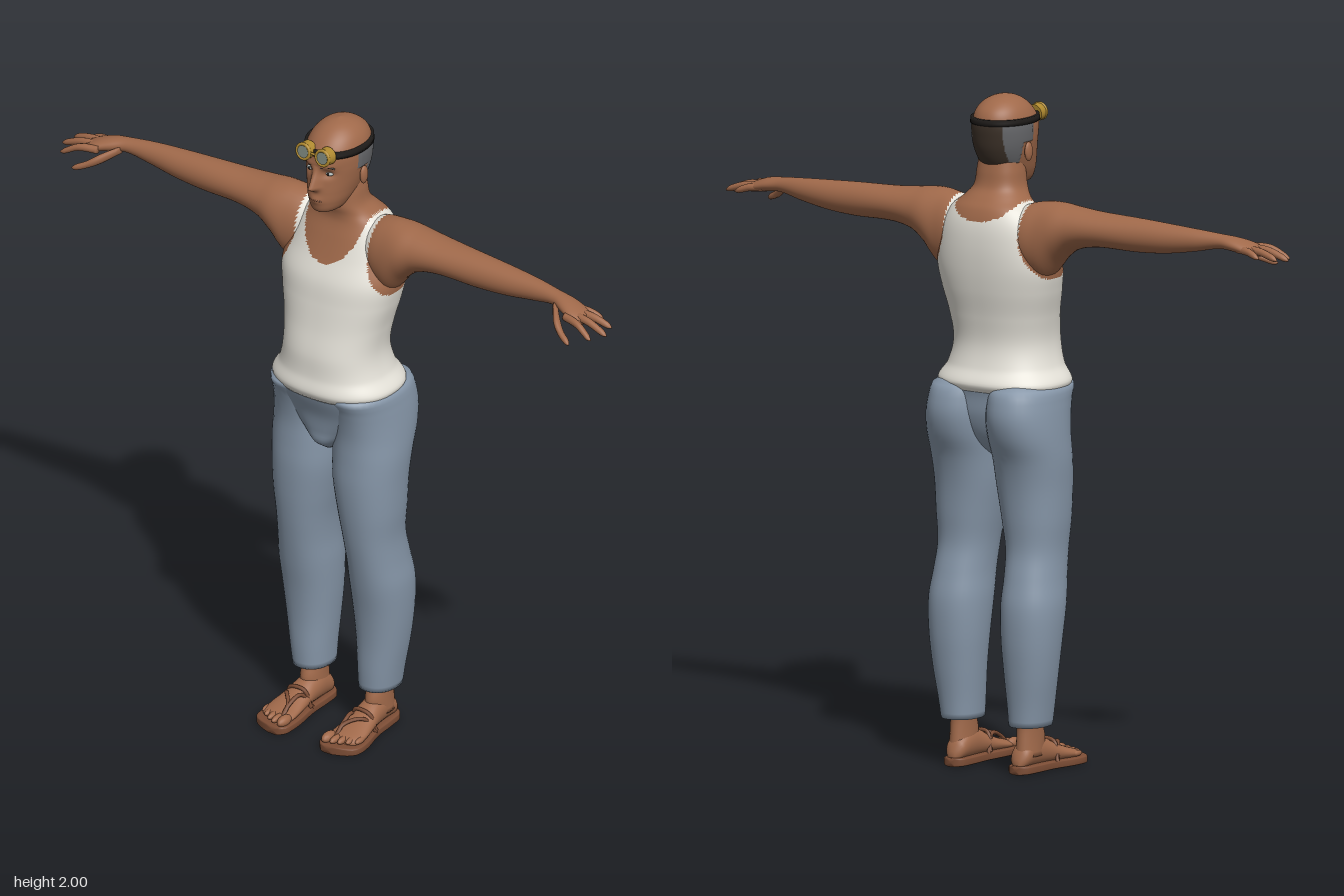
import * as THREE from 'three';

const paint = (name, color) => Object.assign(new THREE.MeshStandardMaterial({ color }), { name });
const skin = paint('skin', 0xa0694a), shirt = paint('offWhiteCotton', 0xe4e1d8), denim = paint('blueGreyCloth', 0x8696a8);
const greyHair = paint('greyHair', 0x66676a), darkHair = paint('darkHair', 0x3b3027), black = paint('blackStrap', 0x1e1b19);
const gold = paint('brass', 0xb08a30), glass = paint('lensGlass', 0x7f8a80), leather = paint('sandalLeather', 0x7c4d35);
const eyeWhite = paint('eyeWhite', 0xa9b2b0);

// Smooth interpolation of a table whose first column is the position along the part
function sample(rows, t) {
  let i = 0;
  while (i < rows.length - 2 && t > rows[i + 1][0]) i++;
  const a = rows[i], b = rows[i + 1], p = rows[Math.max(i - 1, 0)], n = rows[Math.min(i + 2, rows.length - 1)];
  const h = b[0] - a[0], u = (t - a[0]) / h, u2 = u * u, u3 = u2 * u;
  return a.map((v, k) => {
    const m0 = (b[k] - p[k]) / (b[0] - p[0]) * h, m1 = (n[k] - v) / (n[0] - a[0]) * h;
    return v * (2 * u3 - 3 * u2 + 1) + m0 * (u3 - 2 * u2 + u) + b[k] * (3 * u2 - 2 * u3) + m1 * (u3 - u2);
  });
}

// Closed skin over cross-sections; pick(x, y, z) chooses a material per face
function loft(name, rows, place, mats, seg = 32, steps = 40, pick = () => 0) {
  const pos = [], list = [].concat(mats), buckets = list.map(() => []);
  const t0 = rows[0][0], t1 = rows[rows.length - 1][0];
  for (let i = 0; i <= steps; i++) {
    const r = sample(rows, t0 + (t1 - t0) * i / steps);
    for (let j = 0; j < seg; j++) {
      const a = j / seg * Math.PI * 2;
      pos.push(...place(r, Math.cos(a), Math.sin(a)));
    }
  }
  const mid = i => [0, 1, 2].map(k => {
    let s = 0;
    for (let j = 0; j < seg; j++) s += pos[(i * seg + j) * 3 + k];
    return s / seg;
  });
  const ends = [mid(0), mid(steps)], c0 = pos.length / 3;
  pos.push(...ends[0], ...ends[1]);
  const tri = (...f) => {
    const c = [0, 1, 2].map(k => (pos[f[0] * 3 + k] + pos[f[1] * 3 + k] + pos[f[2] * 3 + k]) / 3);
    buckets[pick(...c)].push(...f);
  };
  for (let j = 0; j < seg; j++) {
    const k = (j + 1) % seg, e = steps * seg;
    for (let i = 0; i < steps; i++) {
      const A = i * seg + j, B = i * seg + k;
      tri(A, A + seg, B);
      tri(B, A + seg, B + seg);
    }
    tri(c0, j, k);
    tri(c0 + 1, e + k, e + j);
  }
  const g = new THREE.BufferGeometry();
  g.setAttribute('position', new THREE.Float32BufferAttribute(pos, 3));
  g.setIndex(buckets.flat());
  let start = 0;
  buckets.forEach((b, m) => { g.addGroup(start, b.length, m); start += b.length; });
  g.computeVertexNormals();
  return part(name, g, list.length > 1 ? list : list[0]);
}

function part(name, geo, mat, p = [0, 0, 0], s = [1, 1, 1], r = [0, 0, 0]) {
  const m = new THREE.Mesh(geo, mat);
  m.name = name;
  m.position.set(...p); m.scale.set(...s); m.rotation.set(...r);
  return m;
}
const ball = (name, mat, p, s) => part(name, new THREE.SphereGeometry(1, 16, 10), mat, p, s);
const tube = (name, mat, pts, r) => part(name, new THREE.TubeGeometry(
  new THREE.CatmullRomCurve3(pts.map(p => new THREE.Vector3(...p))), 20, r, 8), mat);

// Mirror a finished mesh to the other side
function mirrored(mesh) {
  mesh.updateMatrix();
  const g = mesh.geometry.clone().applyMatrix4(mesh.matrix).scale(-1, 1, 1), ix = g.index;
  for (let i = 0; i < ix.count; i += 3) {
    const a = ix.getX(i);
    ix.setX(i, ix.getX(i + 1));
    ix.setX(i + 1, a);
  }
  return part(mesh.name.replace('left', 'right'), g, mesh.material);
}

const round = (v, n) => Math.sign(v) * Math.abs(v) ** (2 / n);
// Upright section [y, halfWidth, front, back]
const upright = (n, cx = 0) => ([y, w, f, b], c, s) => [cx + w * round(c, n), y, (f + b) / 2 + (f - b) / 2 * round(s, n)];
const bump = (x, y, cx, cy, sx, sy) => Math.exp(-(((x - cx) / sx) ** 2) - ((y - cy) / sy) ** 2);

// Vest outline: armholes and a neckline that is deeper in front
function vest(x, y, z) {
  const ax = Math.abs(x), k = Math.max(0, 1 - (y - 1.455) / 0.15);
  if (y > 1.46 && ax > 0.132 + 0.075 * k * k) return 0;
  const depth = z > -0.05 ? 0.15 : 0.06;
  return ax < 0.105 && (y > 1.7 || (ax / 0.105) ** 2 + ((y - 1.7) / depth) ** 2 < 1) ? 0 : 1;
}

function headPoint(r, c, s) {
  let [x, y, z] = upright(2.1)(r, c, s);
  const ax = Math.abs(x);
  if (s > 0) {
    const nose = y > 1.822 ? Math.max(0, 1 - (y - 1.822) / 0.065) : Math.exp(-(((y - 1.822) / 0.013) ** 2));
    z += 0.036 * nose * Math.exp(-((x / 0.014) ** 2));
    z -= 0.011 * bump(ax, y, 0.034, 1.863, 0.018, 0.014);
    z += 0.006 * bump(ax, y, 0, 1.775, 0.022, 0.014) + 0.005 * bump(ax, y, 0.03, 1.89, 0.025, 0.012);
  }
  if (hair(x, y, z)) { x *= 1.04; z -= 0.003; }
  return [x, y, z];
}
function hair(x, y, z) {
  if (y > 1.928 || y < 1.782 || z > 0.015 || (y < 1.865 && z > -0.03)) return 0;
  return Math.abs(x) > 0.055 && y > 1.805 ? 1 : 2;
}

export function createModel() {
  const model = new THREE.Group();
  model.name = 'figure';
  const add = (...m) => model.add(...m);
  const pair = (...ms) => ms.forEach(m => add(m, mirrored(m)));

  // Torso with vest and neck
  add(loft('torso', [[1.13, .19, .145, -.155], [1.155, .2, .157, -.168], [1.2, .172, .147, -.145], [1.27, .157, .142, -.13],
    [1.35, .166, .125, -.138], [1.43, .185, .112, -.153], [1.5, .195, .1, -.162], [1.57, .18, .072, -.165],
    [1.63, .16, .05, -.16], [1.675, .13, .035, -.145], [1.7, .1, .035, -.125], [1.73, .078, .043, -.1],
    [1.78, .07, .04, -.09], [1.84, .06, .03, -.08]], upright(2.35), [skin, shirt], 112, 110, vest));

  // Arms [x, top, bottom, front, back]
  pair(loft('leftArm', [[.06, 1.66, 1.56, -.01, -.1], [.12, 1.69, 1.5, .03, -.13], [.18, 1.703, 1.475, .045, -.13],
    [.23, 1.703, 1.53, .045, -.125], [.28, 1.697, 1.567, .035, -.115], [.36, 1.69, 1.585, .025, -.105],
    [.5, 1.685, 1.585, .015, -.09], [.6, 1.68, 1.592, .008, -.08], [.7, 1.674, 1.608, 0, -.065],
    [.78, 1.667, 1.623, .003, -.05], [.83, 1.66, 1.618, .024, -.05], [.87, 1.648, 1.611, .04, -.046],
    [.9, 1.635, 1.609, .036, -.036]],
  ([x, t, b, f, k], c, s) => [x, (t + b) / 2 + (t - b) / 2 * s, (f + k) / 2 + (f - k) / 2 * c], [skin, shirt], 40, 110, vest));

  // Fingers and thumb [x, y, z, radius]
  const digit = ([x, y, z, r], c, s) => [x, y + r * s, z + r * c];
  [['Index', .85, .034, .965, 1.6, .062], ['Middle', .85, .01, .99, 1.603, .018],
    ['Ring', .85, -.012, .978, 1.608, -.024], ['Little', .84, -.03, .93, 1.612, -.048]].forEach(([n, x, z, tx, ty, tz]) =>
    pair(loft('left' + n + 'Finger', [[x, 1.63, z, .012], [(x + tx) / 2, 1.627, (z + tz) / 2, .0115],
      [tx - .012, ty + .005, tz - (tz - z) * .1, .009], [tx, ty, tz, .002]], digit, skin, 12, 20)));
  pair(loft('leftThumb', [[.79, 1.635, .0, .012], [.83, 1.612, .045, .016], [.865, 1.592, .07, .012],
    [.895, 1.58, .083, .009], [.905, 1.577, .087, .002]], digit, skin, 12, 20));

  // Trousers: each leg [y, inner, outer, front, back], then the pelvis between them
  pair(loft('leftTrouserLeg', [[.14, .062, .178, .025, -.12], [.2, .058, .187, .028, -.125], [.3, .05, .203, .03, -.137],
    [.4, .042, .214, .04, -.146], [.5, .038, .218, .058, -.146], [.58, .04, .21, .072, -.13], [.66, .035, .206, .085, -.114],
    [.75, .02, .213, .096, -.118], [.85, .004, .217, .102, -.127], [.93, 0, .22, .1, -.145], [1, 0, .217, .1, -.175],
    [1.06, 0, .212, .11, -.188], [1.11, .002, .206, .125, -.182], [1.145, .005, .198, .138, -.167], [1.16, .03, .17, .1, -.14]],
  ([y, i, o, f, b], c, s) => [(i + o) / 2 + (o - i) / 2 * round(c, 2.2), y, (f + b) / 2 + (f - b) / 2 * round(s, 2.2)],
  denim, 40, 60));
  add(loft('trouserSeat', [[.93, .025, .06, -.06], [.96, .05, .098, -.1], [1, .1, .106, -.13], [1.06, .17, .118, -.15],
    [1.12, .194, .142, -.155], [1.155, .196, .153, -.162]], upright(2.3), denim, 64, 24));

  // Head with fringe of hair
  add(loft('head', [[1.725, .02, .085, 0], [1.735, .04, .104, -.02], [1.765, .058, .112, -.05], [1.8, .07, .112, -.085],
    [1.84, .08, .108, -.105], [1.88, .086, .108, -.113], [1.92, .086, .107, -.115], [1.955, .075, .085, -.104],
    [1.98, .054, .055, -.077], [1.994, .028, .024, -.044], [2, .001, -.008, -.012]],
  headPoint, [skin, greyHair, darkHair], 120, 90, hair));
  pair(ball('leftEar', skin, [.087, 1.835, -.01], [.009, .029, .017]),
    ball('leftEye', eyeWhite, [.034, 1.863, .088], [.013, .006, .009]),
    ball('leftPupil', black, [.034, 1.863, .0945], [.005, .005, .003]),
    tube('leftEyebrow', darkHair, [[.016, 1.884, .108], [.035, 1.889, .101], [.054, 1.884, .089]], .003));
  add(tube('mouth', leather, [[-.022, 1.774, .109], [0, 1.776, .117], [.022, 1.774, .109]], .003));

  // Goggles worn on the forehead
  add(loft('goggleStrap', [[1.918, .093, .112, -.121], [1.936, .091, .108, -.12]], upright(2.1), black, 64, 2));
  const cup = new THREE.CylinderGeometry(.025, .027, .03, 28);
  pair(part('leftGoggleCup', cup, gold, [.035, 1.928, .108], [1, 1, 1], [Math.PI / 2 - .1, 0, 0]),
    part('leftGoggleRim', new THREE.TorusGeometry(.023, .005, 10, 28), gold, [.035, 1.93, .123], [1, 1, 1], [-.1, 0, 0]),
    part('leftGoggleLens', new THREE.CylinderGeometry(.019, .019, .006, 28), glass, [.035, 1.93, .123],
      [1, 1, 1], [Math.PI / 2 - .1, 0, 0]));
  add(tube('goggleBridge', gold, [[-.012, 1.928, .12], [0, 1.932, .122], [.012, 1.928, .12]], .004));

  // Feet [z, centre, halfWidth, top] over sandal soles
  const foot = ([z, cx, w, t], c, s) => [cx + w * s, (t + .015) / 2 + (t - .015) / 2 * c, z];
  pair(loft('leftFoot', [[-.113, .115, .012, .045], [-.1, .115, .029, .075], [-.05, .115, .036, .11], [0, .117, .039, .1],
    [.05, .12, .046, .075], [.1, .122, .053, .056], [.14, .12, .05, .044], [.152, .118, .03, .035]], foot, skin, 28, 30),
  loft('leftAnkle', [[.05, .035, .005, -.105], [.1, .034, .012, -.1], [.14, .034, 0, -.096], [.22, .038, 0, -.1]],
    upright(2, .118), skin, 28, 12),
  loft('leftSandalSole', [[-.12, .115, .015, 0], [-.105, .115, .034, 0], [-.05, .116, .042, 0], [.02, .118, .046, 0],
    [.1, .122, .062, 0], [.15, .121, .063, 0], [.175, .112, .05, 0], [.19, .1, .022, 0]],
  ([z, cx, w], c, s) => [cx + w * round(s, 6), .013 + .013 * round(c, 6), z], leather, 32, 36));
  for (let i = 0; i < 5; i++) {
    const r = i ? .0115 - i * .0006 : .016;
    pair(ball('leftToe', skin, [.081 + i * .021 + (i ? .004 : 0), .034, .155 - i * i * .0022], [r, r, .03 - i * .002]));
  }
  pair(tube('leftSandalInnerStrap', leather, [[.098, .03, .145], [.098, .058, .115], [.092, .075, .06], [.076, .02, .02]], .006),
    tube('leftSandalOuterStrap', leather, [[.098, .03, .145], [.1, .06, .112], [.14, .072, .065], [.162, .02, .03]], .006),
    tube('leftSandalInstepStrap', leather, [[.076, .025, .03], [.092, .08, .04], [.118, .086, .043], [.145, .077, .04],
      [.162, .025, .03]], .006));
  return model;
}
